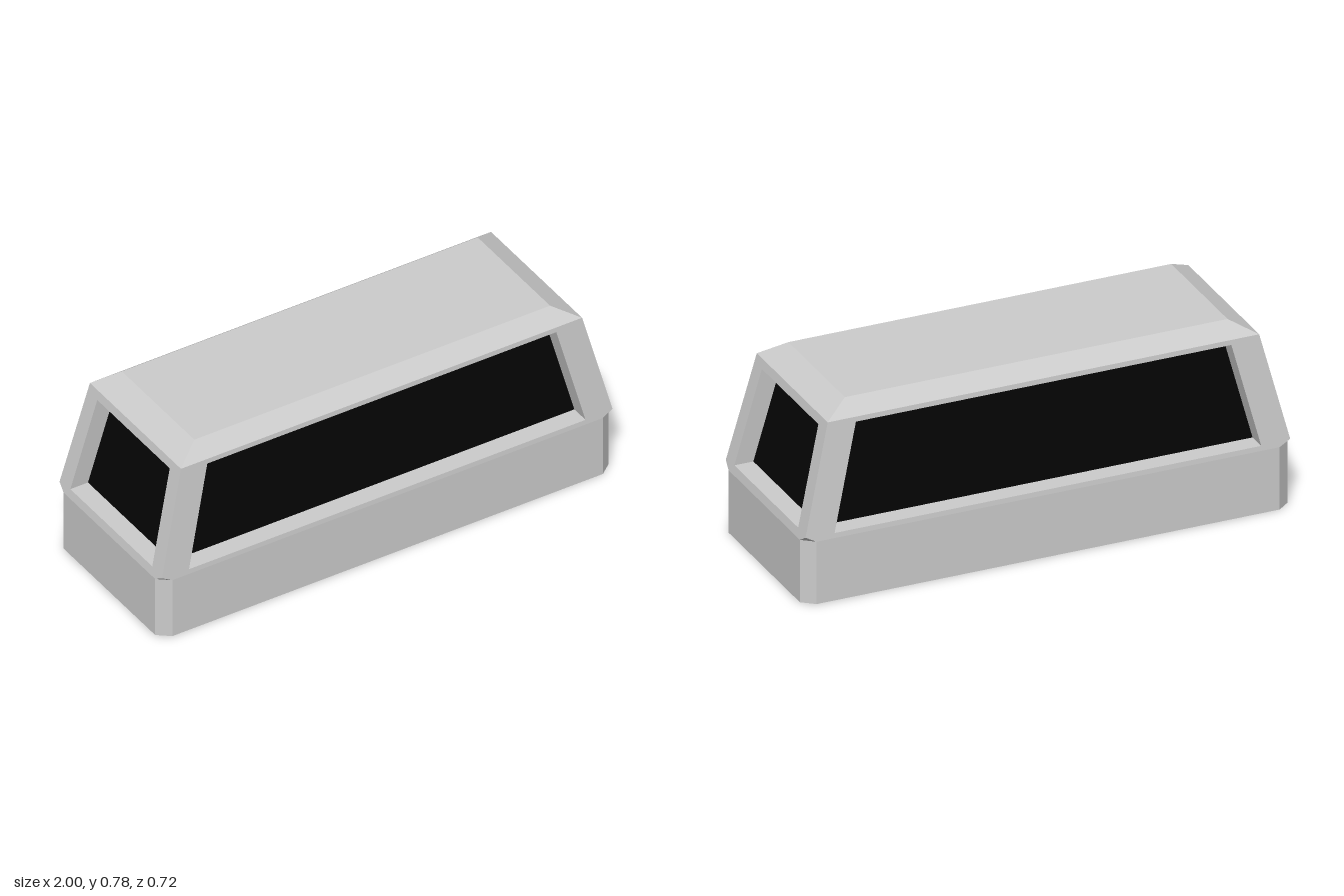
import * as THREE from 'three';

const BELT = 0.26, CORNER = 0.285, EAVE = 0.725, TOP = 0.78, RECESS = 0.078;
const grey = new THREE.MeshStandardMaterial({ color: 0xcccccc, flatShading: true });
const thinGrey = new THREE.MeshStandardMaterial({ color: 0xcccccc, flatShading: true, side: THREE.DoubleSide });
const black = new THREE.MeshStandardMaterial({ color: 0x040404 });

function add(group, name, geometry, material = grey) {
  const mesh = new THREE.Mesh(geometry, material);
  mesh.name = name;
  group.add(mesh);
  return mesh;
}

// Flat faces from convex polygons, each listed counter-clockwise
function facets(polygons) {
  const pos = [];
  for (const p of polygons)
    for (let i = 1; i < p.length - 1; i++) pos.push(...p[0], ...p[i], ...p[i + 1]);
  const g = new THREE.BufferGeometry();
  g.setAttribute('position', new THREE.Float32BufferAttribute(pos, 3));
  g.computeVertexNormals();
  return g;
}

// Quads joining two rings of equal length
const loft = (a, b) => a.map((p, i) => {
  const j = (i + 1) % a.length;
  return [p, a[j], b[j], b[i]];
});

const toShape = pts => new THREE.Shape(pts.map(p => new THREE.Vector2(...p)));

// Inward-leaning wall with a recessed window, facing +z
function windowWall(name, depth, eaveDepth, outline, hole) {
  const wall = new THREE.Group();
  wall.name = name;
  const lean = y => depth - (y - BELT) * (depth - eaveDepth) / (EAVE - BELT);
  const leanShape = (shape, inset) => {
    const g = new THREE.ShapeGeometry(shape), p = g.attributes.position;
    for (let i = 0; i < p.count; i++) p.setZ(i, lean(p.getY(i)) - inset);
    g.computeVertexNormals();
    return g;
  };
  const panel = toShape(outline);
  panel.holes.push(toShape(hole));
  add(wall, 'windowFrame', leanShape(panel, 0));
  const ring = inset => hole.map(([x, y]) => [x, y, lean(y) - inset]);
  add(wall, 'windowReveal', facets(loft(ring(0), ring(RECESS))));
  add(wall, 'windowGlass', leanShape(toShape(hole), RECESS), black);
  return wall;
}

// Mirror the right half of an outline, listed bottom to top
const mirrored = half => [...half, ...half.slice().reverse().map(([x, y]) => [-x, y])];

export function createModel() {
  const model = new THREE.Group();
  model.name = 'vanBody';

  // Lower body: a box with chamfered upright corners
  const plan = toShape([[-0.95, -0.36], [0.95, -0.36], [1, -0.32], [1, 0.32],
    [0.95, 0.36], [-0.95, 0.36], [-1, 0.32], [-1, -0.32]]);
  const lower = new THREE.ExtrudeGeometry(plan, { depth: BELT, bevelEnabled: false });
  add(model, 'lowerBody', lower.rotateX(-Math.PI / 2));

  // Four window walls: long sides, then ends
  const sideOutline = mirrored([[0.95, BELT], [0.994, CORNER], [0.885, EAVE]]);
  const sideHole = [[-0.875, 0.28], [0.875, 0.28], [0.77, 0.705], [-0.77, 0.705]];
  const endOutline = mirrored([[0.32, BELT], [0.358, CORNER], [0.318, EAVE]]);
  const endHole = [[-0.286, 0.294], [0.286, 0.294], [0.253, 0.69], [-0.253, 0.69]];
  for (const [i, side] of ['front', 'back'].entries()) {
    const wall = windowWall(side + 'Wall', 0.36, 0.318, sideOutline, sideHole);
    wall.rotation.y = i * Math.PI;
    model.add(wall);
  }
  for (const [i, side] of ['left', 'right'].entries()) {
    const wall = windowWall(side + 'Wall', 1, 0.885, endOutline, endHole);
    wall.rotation.y = Math.PI / 2 + i * Math.PI;
    model.add(wall);
  }

  // Small undersides where the cabin corners overhang the chamfers
  for (const sx of [-1, 1]) for (const sz of [-1, 1])
    add(model, 'cornerOverhang', facets([[[sx * 0.95, BELT, sz * 0.36],
      [sx, BELT, sz * 0.32], [sx * 0.994, CORNER, sz * 0.358]]]), thinGrey);

  // Bevelled roof
  const ring = (x, y, z) => [[-x, y, z], [x, y, z], [x, y, -z], [-x, y, -z]];
  const eave = ring(0.885, EAVE, 0.318), crown = ring(0.785, TOP, 0.253);
  add(model, 'roof', facets([...loft(eave, crown), crown]));

  return model;
}
